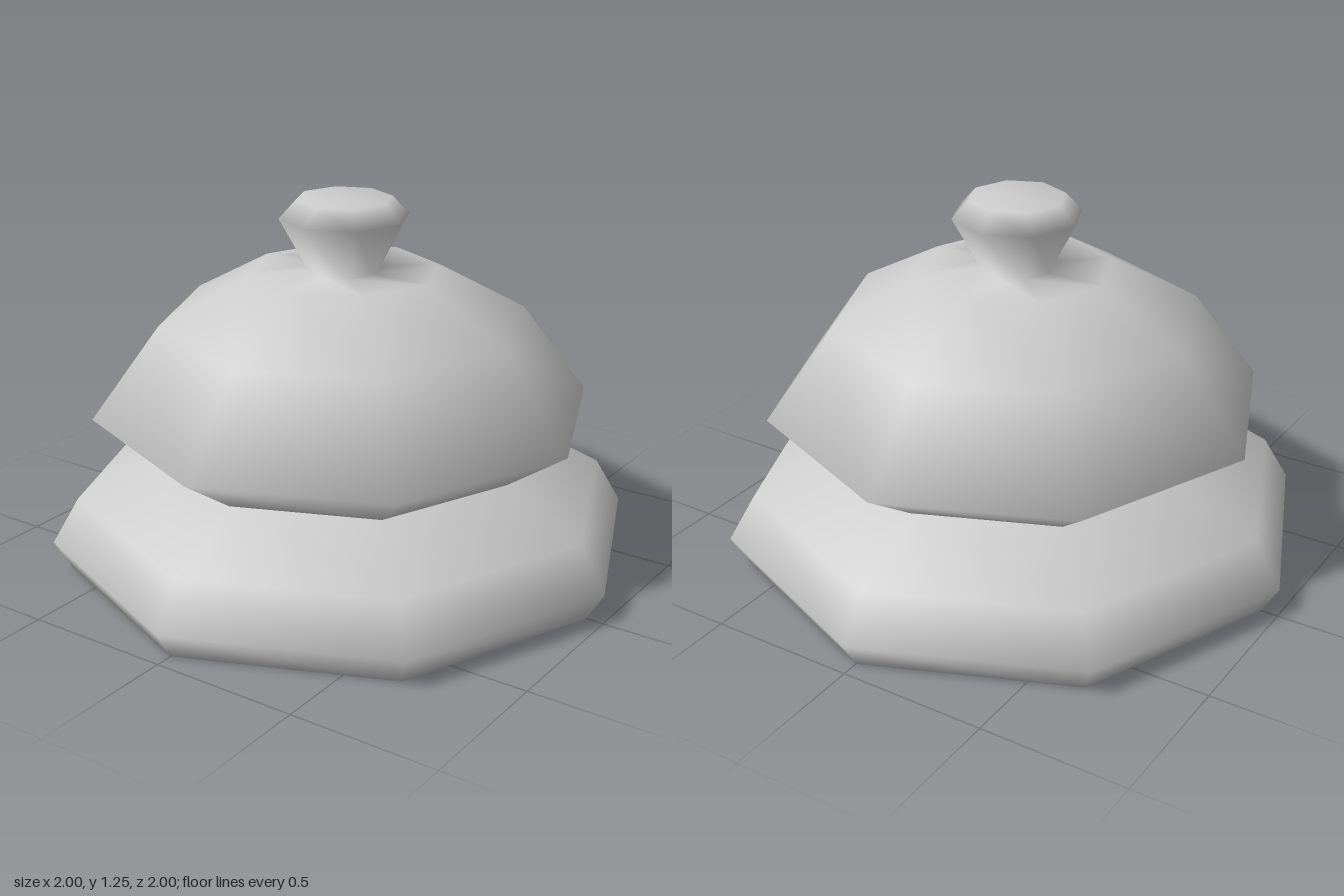
import * as THREE from 'three';

const SIDES = 8;

export function createModel() {
  const group = new THREE.Group();
  group.name = 'tieredBell';
  const material = new THREE.MeshStandardMaterial({ color: 0xcccccc, side: THREE.DoubleSide });

  // Turned part from [radius, height] pairs, listed bottom to top
  const addTurned = (name, profile) => {
    const points = profile.map(([r, y]) => new THREE.Vector2(r, y));
    const mesh = new THREE.Mesh(new THREE.LatheGeometry(points, SIDES), material);
    mesh.name = name;
    group.add(mesh);
  };

  // Wide base with a closed underside
  addTurned('base', [[0, 0], [0.94, 0], [1, 0.1], [0.91, 0.255], [0.635, 0.39]]);

  // Dome that runs smoothly into the flared knob on top
  addTurned('domeWithKnob', [
    [0.635, 0.39], [0.848, 0.535], [0.62, 0.845], [0.32, 1.01],
    [0.12, 1.01], [0.217, 1.19], [0.16, 1.25], [0, 1.25],
  ]);

  return group;
}
